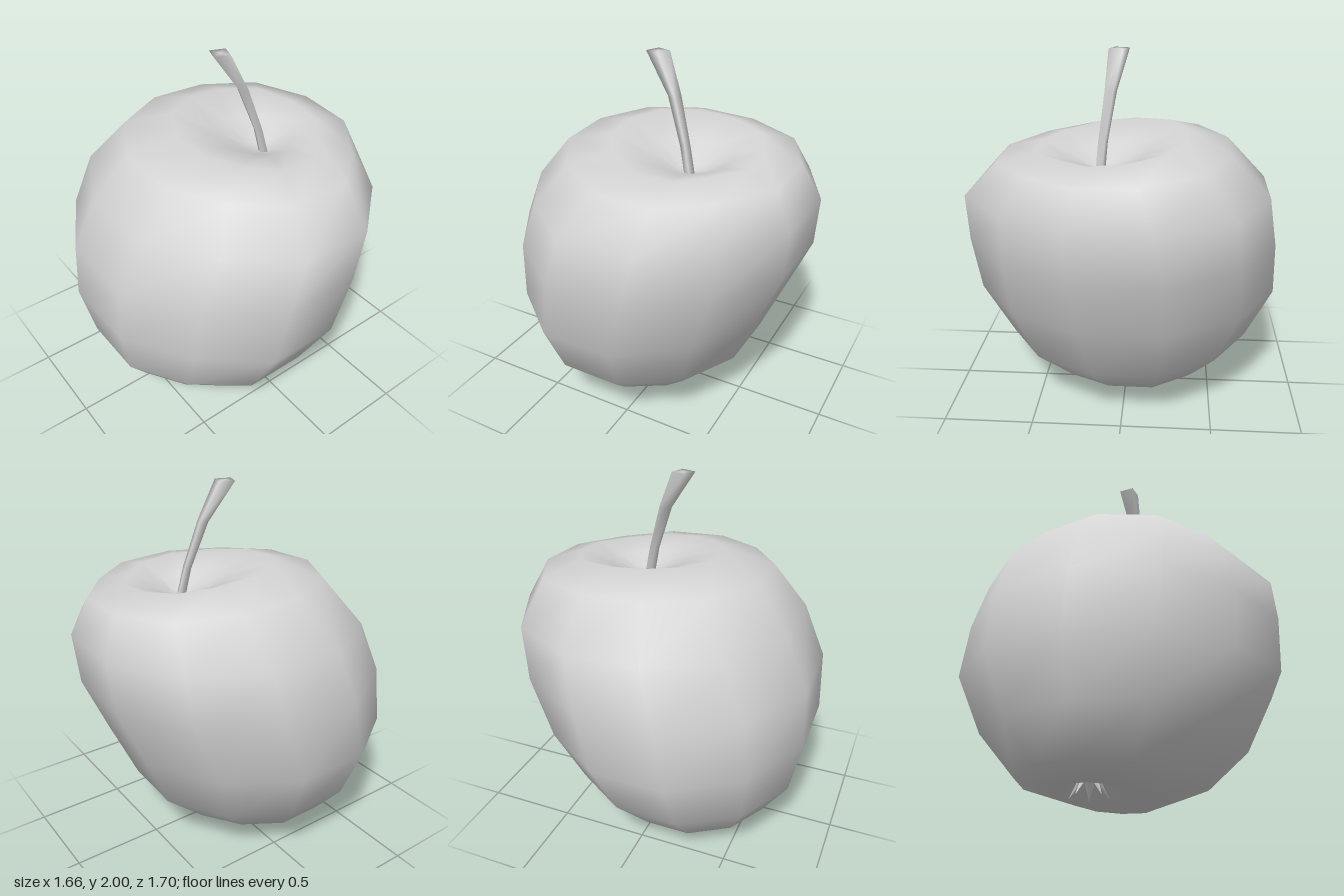
import * as THREE from 'three';

// Smooth skin over rings [cx, y, cz, rx, rz, slopeX, slopeZ], listed along the axis.
// low and high hold one radius factor per side, blended from the first ring to the last.
function loft(rings, low, high) {
  const sides = low.length, pos = [], index = [];
  rings.forEach(([cx, y, cz, rx, rz, sx = 0, sz = 0], i) => {
    const t = i / (rings.length - 1);
    for (let j = 0; j < sides; j++) {
      const a = ((j + 0.5) / sides) * Math.PI * 2;
      const f = low[j] + (high[j] - low[j]) * t;
      const dx = Math.sin(a) * rx * f, dz = Math.cos(a) * rz * f;
      pos.push(cx + dx, y + dx * sx + dz * sz, cz + dz);
    }
  });
  for (let i = 0; i < rings.length - 1; i++) {
    for (let j = 0; j < sides; j++) {
      const k = (j + 1) % sides;
      const a = i * sides + j, b = i * sides + k, c = b + sides, d = a + sides;
      index.push(a, b, c, a, c, d);
    }
  }
  const g = new THREE.BufferGeometry();
  g.setAttribute('position', new THREE.Float32BufferAttribute(pos, 3));
  g.setIndex(index);
  g.computeVertexNormals();
  return g;
}

export function createModel() {
  const group = new THREE.Group();
  const grey = new THREE.MeshStandardMaterial({ color: 0xd4d4d4 });
  grey.name = 'lightGrey';

  const add = (name, geometry, parent = group) => {
    const mesh = new THREE.Mesh(geometry, grey);
    mesh.name = name;
    parent.add(mesh);
  };

  // Lopsided fruit body, from the hollow underneath to the hollow at the stem
  add('fruitBody', loft([
    [-0.25, 0.13, -0.15, 0, 0],
    [-0.25, 0.11, -0.14, 0.09, 0.09, -0.1, -0.1],
    [-0.22, 0.036, -0.07, 0.23, 0.26, -0.11, -0.11],
    [-0.17, 0.12, -0.04, 0.47, 0.50, -0.02, -0.02],
    [-0.12, 0.345, -0.02, 0.67, 0.715, -0.01, -0.015],
    [-0.085, 0.665, -0.01, 0.775, 0.87, -0.01, -0.01],
    [-0.01, 0.99, 0.012, 0.838, 0.872, -0.01, 0],
    [0.065, 1.27, 0.035, 0.785, 0.842, -0.01, -0.01],
    [0.11, 1.485, 0.055, 0.64, 0.635, -0.04, -0.05],
    [0.145, 1.545, 0.065, 0.41, 0.41, -0.07, -0.1],
    [0.18, 1.48, 0.08, 0.21, 0.21, -0.06, -0.08],
    [0.2, 1.41, 0.1, 0.08, 0.08, -0.05, -0.05],
    [0.2, 1.4, 0.11, 0, 0],
  ],
  [1, 1.05, 0.98, 1, 0.93, 0.99, 1, 0.98, 1, 0.99, 0.93, 1],
  [1, 0.85, 0.98, 1, 1.08, 0.99, 1, 1.04, 1, 0.99, 0.97, 1]));

  // Bent four-sided stem, shaped in its own plane and then turned to face its lean
  const square = [1, 1, 1, 1];
  const stem = loft([
    [0.26, 1.34, 0, 0.028, 0.028],
    [0.213, 1.54, 0, 0.026, 0.028],
    [0.123, 1.79, -0.005, 0.033, 0.036],
    [0, 2, 0, 0.061, 0.061],
    [0, 2, 0, 0, 0],
  ], square, square);
  stem.rotateY(-0.35).translate(-0.035, 0, 0.04);
  add('stem', stem);

  // Small dried sepals in the lower hollow
  const sepals = new THREE.Group();
  sepals.name = 'sepals';
  sepals.position.set(-0.26, 0.13, -0.15);
  group.add(sepals);
  for (let i = 0; i < 5; i++) {
    const leaf = new THREE.ConeGeometry(0.03, 0.13, 4);
    leaf.rotateX(Math.PI).scale(1, 1, 0.5).translate(0, -0.055, 0);
    leaf.rotateX(-0.6).translate(0, 0, 0.04).rotateY((i / 5) * Math.PI * 2 + 0.4);
    add('sepal', leaf, sepals);
  }

  return group;
}
